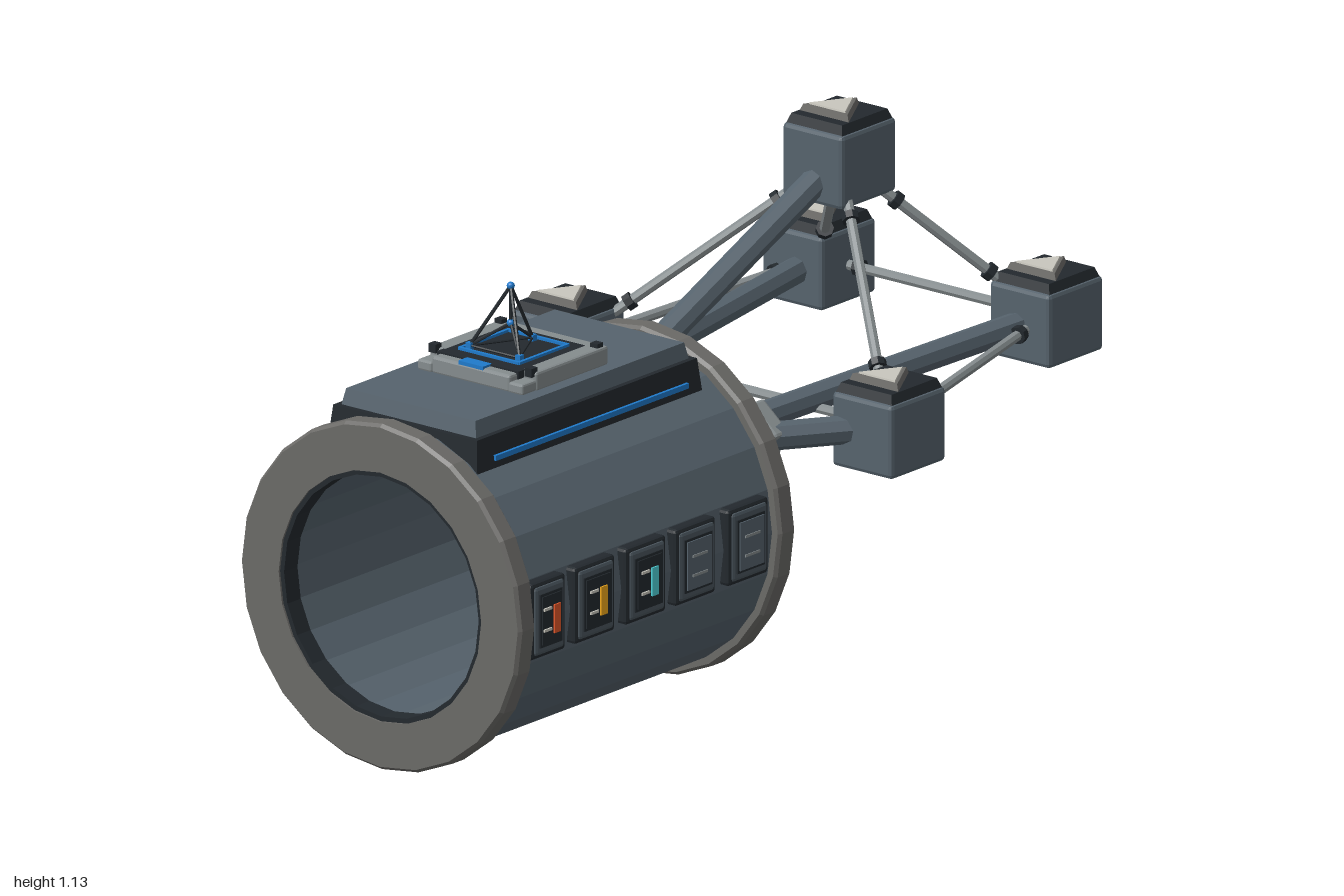
import * as THREE from 'three';
import { RoundedBoxGeometry } from 'three/addons/geometries/RoundedBoxGeometry.js';

const mat = (color) => new THREE.MeshStandardMaterial({ color, flatShading: true });
const M = {
  slate: mat(0x56636d), rim: mat(0x6b6a67), dark: mat(0x23292e), grey: mat(0x858c8e),
  blue: mat(0x1f7acb), pale: mat(0xc9c7be), panel: mat(0x4a555d),
  red: mat(0xe0562a), amber: mat(0xf0a81c), cyan: mat(0x4fd0d8),
};
const CY = 0.395; // height of the tunnel axis
const V = (x, y, z) => new THREE.Vector3(x, y, z);

function add(parent, name, geometry, material, x = 0, y = 0, z = 0) {
  const m = new THREE.Mesh(geometry, material);
  m.name = name;
  m.position.set(x, y, z);
  parent.add(m);
  return m;
}

const box = (parent, name, material, w, h, d, x, y, z) =>
  add(parent, name, new THREE.BoxGeometry(w, h, d), material, x, y, z);

const rounded = (parent, name, material, w, h, d, x, y, z, r = 0.01) =>
  add(parent, name, new RoundedBoxGeometry(w, h, d, 1, r), material, x, y, z);

// Straight round bar between two points
function bar(parent, name, material, a, b, r, sides = 8) {
  const d = b.clone().sub(a);
  const m = add(parent, name, new THREE.CylinderGeometry(r, r, d.length(), sides), material);
  m.position.copy(a).lerp(b, 0.5);
  m.quaternion.setFromUnitVectors(V(0, 1, 0), d.normalize());
  return m;
}

// Closed ring section [radius, z] turned around the tunnel axis
function ring(parent, name, material, profile) {
  const g = new THREE.LatheGeometry(profile.map(([r, z]) => new THREE.Vector2(r, z)), 24);
  g.rotateX(Math.PI / 2);
  return add(parent, name, g, material, 0, CY, 0);
}

// Flat slab with sloping sides and ends
function slab(parent, name, material, w, h, d, inset, x, y, z) {
  const g = new THREE.BoxGeometry(w, h, d);
  const p = g.attributes.position;
  for (let i = 0; i < p.count; i++) {
    if (p.getY(i) > 0) {
      p.setX(i, p.getX(i) - Math.sign(p.getX(i)) * inset);
      p.setZ(i, p.getZ(i) - Math.sign(p.getZ(i)) * inset);
    }
  }
  return add(parent, name, g, material, x, y, z);
}

function tunnel() {
  const g = new THREE.Group();
  g.name = 'tunnel';
  ring(g, 'tunnelWall', M.slate, [[0.372, 0.09], [0.372, 0.96], [0.285, 0.96], [0.285, 0.09], [0.372, 0.09]]);
  for (const [z0, z1] of [[0.052, 0.108], [0.942, 0.998]]) {
    ring(g, 'endRim', M.rim, [[0.285, z0], [0.388, z0], [0.395, z0 + 0.008], [0.395, z1 - 0.008],
      [0.388, z1], [0.285, z1], [0.285, z0]]);
    ring(g, 'innerSeal', M.dark, [[0.274, z0 + 0.005], [0.288, z0 + 0.005], [0.288, z1 - 0.005],
      [0.274, z1 - 0.005], [0.274, z0 + 0.005]]);
  }
  return g;
}

// Row of framed control panels on one side
function sidePanels(side) {
  const g = new THREE.Group();
  g.name = side > 0 ? 'leftPanels' : 'rightPanels';
  const lights = [M.red, M.amber, M.cyan];
  [0.89, 0.73, 0.555, 0.385, 0.205].forEach((z, i) => {
    const w = i === 0 ? 0.12 : 0.138;
    const lit = side > 0 && i < 3;
    rounded(g, 'panelBack', M.dark, 0.04, 0.175, w, side * 0.366, 0.402, z, 0.008);
    rounded(g, 'panelFrame', M.panel, 0.03, 0.158, w - 0.018, side * 0.376, 0.402, z, 0.008);
    const inner = side > 0 && !lit ? M.slate : M.dark;
    box(g, 'panelGroove', M.dark, 0.006, 0.122, w - 0.044, side * 0.391, 0.402, z);
    box(g, 'panelInset', inner, 0.008, 0.11, w - 0.056, side * 0.393, 0.402, z);
    if (lit) {
      box(g, 'statusLight', lights[i], 0.006, 0.065, 0.022, side * 0.398, 0.4, z - 0.014);
      for (const dy of [-0.02, 0.028]) {
        box(g, 'indicator', M.pale, 0.006, 0.006, 0.026, side * 0.398, 0.4 + dy, z + 0.018);
      }
    } else {
      for (const dy of [-0.022, 0.022]) {
        box(g, 'vent', side > 0 ? M.grey : M.panel, 0.006, 0.006, 0.05, side * 0.396, 0.4 + dy, z);
      }
    }
  });
  return g;
}

// Raised roof deck with its sensor platform
function roofDeck() {
  const g = new THREE.Group();
  g.name = 'roofDeck';
  slab(g, 'deckBase', M.dark, 0.42, 0.075, 0.77, 0.008, 0, 0.735, 0.535);
  slab(g, 'deckTop', M.slate, 0.38, 0.04, 0.73, 0.008, 0, 0.789, 0.535);
  for (const s of [-1, 1]) {
    box(g, 'deckLightStrip', M.blue, 0.01, 0.012, 0.66, s * 0.209, 0.722, 0.53);
    rounded(g, 'platformSide', M.grey, 0.045, 0.045, 0.23, s * 0.128, 0.828, 0.53, 0.006);
    rounded(g, 'platformFoot', M.grey, 0.04, 0.025, 0.06, s * 0.128, 0.82, 0.66, 0.005);
    box(g, 'platformBolt', M.dark, 0.02, 0.02, 0.02, s * 0.135, 0.85, 0.645);
    box(g, 'platformBolt', M.dark, 0.02, 0.02, 0.02, s * 0.135, 0.85, 0.42);
    box(g, 'padLight', M.blue, 0.008, 0.006, 0.17, s * 0.083, 0.853, 0.54);
    box(g, 'padLight', M.blue, 0.17, 0.006, 0.008, 0, 0.853, 0.54 + s * 0.083);
  }
  rounded(g, 'platformBack', M.grey, 0.3, 0.045, 0.035, 0, 0.828, 0.415, 0.006);
  rounded(g, 'platformFront', M.grey, 0.22, 0.04, 0.04, 0, 0.826, 0.668, 0.006);
  box(g, 'sensorPad', M.dark, 0.23, 0.05, 0.235, 0, 0.825, 0.545);
  box(g, 'frontLight', M.blue, 0.07, 0.012, 0.03, 0, 0.845, 0.672);

  // Tripod aerial
  const apex = V(0, 0.995, 0.55), node = V(0, 0.91, 0.55);
  const feet = [V(-0.07, 0.858, 0.605), V(0.07, 0.858, 0.605), V(0, 0.858, 0.475)];
  feet.forEach((f, i) => {
    bar(g, 'aerialLeg', M.dark, f, apex, 0.004, 6);
    bar(g, 'aerialBrace', M.dark, f, node, 0.0035, 6);
    bar(g, 'aerialBase', M.dark, f, feet[(i + 1) % 3], 0.003, 6);
    box(g, 'aerialFoot', M.blue, 0.014, 0.014, 0.014, f.x, f.y, f.z);
  });
  bar(g, 'aerialMast', M.dark, node, apex, 0.0035, 6);
  for (const n of [apex, node]) add(g, 'aerialNode', new THREE.IcosahedronGeometry(0.009, 1), M.blue, n.x, n.y, n.z);
  return g;
}

// Cube pod with a triangular marker on top and a blue plate behind
function pod(c) {
  const g = new THREE.Group();
  g.name = 'pod';
  g.position.copy(c);
  rounded(g, 'podBody', M.slate, 0.17, 0.17, 0.187, 0, 0, 0, 0.01);
  slab(g, 'podCap', M.dark, 0.158, 0.022, 0.172, 0.008, 0, 0.094, 0);
  const tri = (r0, r1, h) => new THREE.CylinderGeometry(r0, r1, h, 3).rotateY(Math.PI);
  add(g, 'markerBase', tri(0.072, 0.08, 0.016), M.rim, 0, 0.112, 0.012);
  add(g, 'marker', tri(0.058, 0.06, 0.006), M.pale, 0, 0.121, 0.012);
  box(g, 'rearPlate', M.blue, 0.06, 0.066, 0.016, 0, 0, -0.098);
  return g;
}

// Thin strut with a dark collar near each pod
function strut(parent, a, b) {
  bar(parent, 'strut', M.grey, a, b, 0.012);
  const d = b.clone().sub(a).normalize();
  for (const [p, s] of [[a, 1], [b, -1]]) {
    // Distance from the pod centre to its surface along the strut
    const out = 0.03 + Math.min(0.085 / Math.abs(d.x), 0.085 / Math.abs(d.y), 0.094 / Math.abs(d.z));
    const c0 = p.clone().addScaledVector(d, s * (out - 0.01));
    bar(parent, 'strutCollar', M.dark, c0, c0.clone().addScaledVector(d, s * 0.018), 0.02);
  }
}

function rearFrame() {
  const g = new THREE.Group();
  g.name = 'rearFrame';
  const top = V(0, 1.007, -0.575);
  const near = [-1, 1].map((s) => V(s * 0.452, 0.58, -0.195));
  const far = [-1, 1].map((s) => V(s * 0.32, 0.63, -0.895));
  for (const c of [top, ...near, ...far]) g.add(pod(c));
  strut(g, near[0], near[1]);
  strut(g, far[0], far[1]);

  // Main booms and their mounts on the tunnel rim
  bar(g, 'topBoom', M.slate, V(0, 0.725, 0.07), top, 0.031);
  rounded(g, 'topMount', M.grey, 0.085, 0.07, 0.05, 0, 0.725, 0.03, 0.008);
  [-1, 1].forEach((s, i) => {
    strut(g, top, near[i]);
    strut(g, top, far[i]);
    strut(g, near[i], far[i]);
    bar(g, 'farBoom', M.slate, V(s * 0.205, 0.588, 0.06), far[i], 0.031);
    bar(g, 'nearBoom', M.slate, V(s * 0.285, 0.583, 0.06), near[i], 0.032);
    rounded(g, 'sideMount', M.grey, 0.17, 0.045, 0.05, s * 0.235, 0.563, 0.035, 0.008);
    const plate = rounded(g, 'mountPlate', M.grey, 0.1, 0.04, 0.05, s * 0.29, 0.61, 0.03, 0.008);
    plate.rotation.z = -s * 0.7;
  });
  return g;
}

export function createModel() {
  const model = new THREE.Group();
  model.name = 'tunnelModule';
  model.add(tunnel(), sidePanels(1), sidePanels(-1), roofDeck(), rearFrame());
  return model;
}
